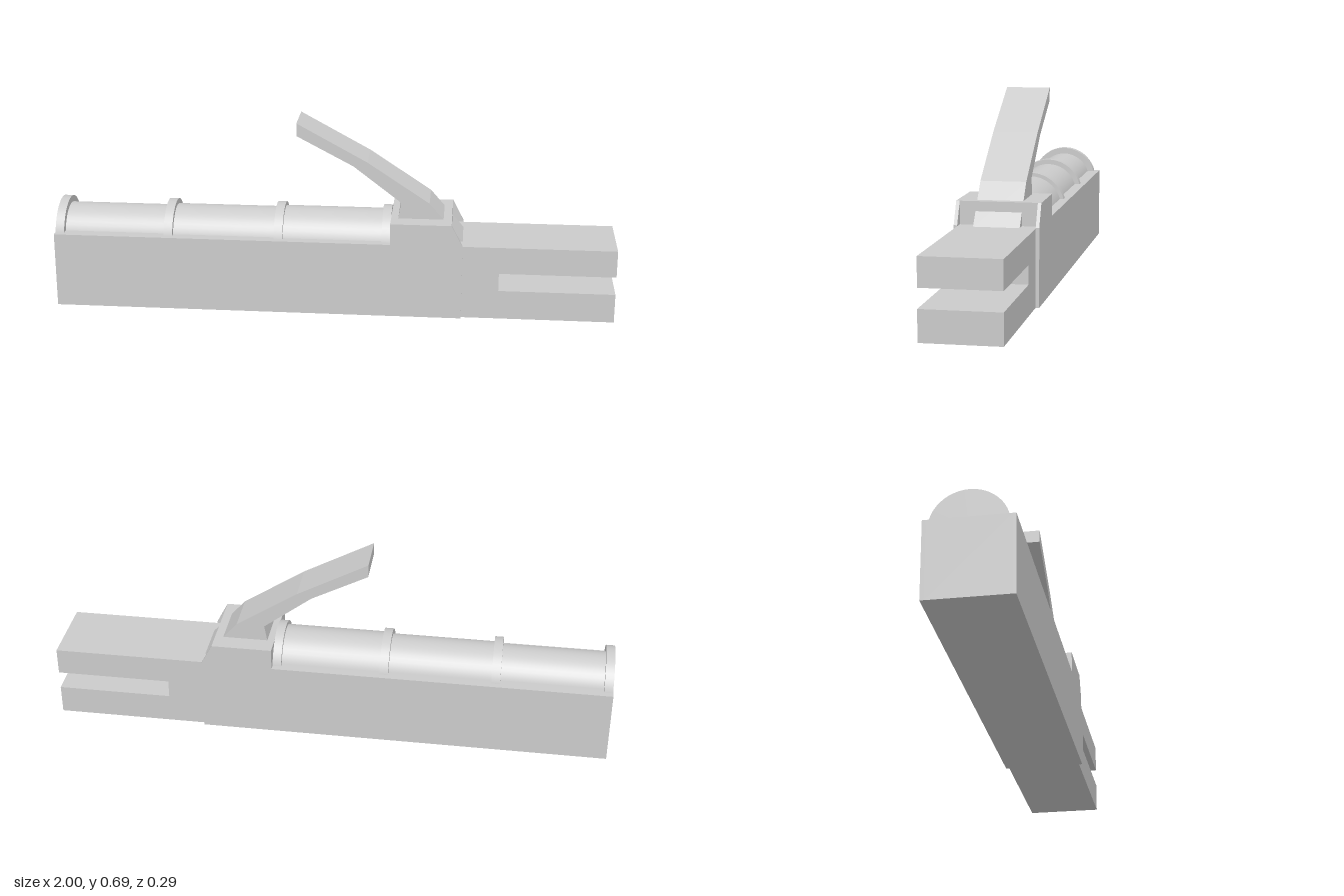
import * as THREE from 'three';

const material = new THREE.MeshStandardMaterial({ color: 0xcccccc });
const flat = new THREE.MeshStandardMaterial({ color: 0xcccccc, flatShading: true });

// Side outline (x, y) extruded across z, from zMin to zMax
function slab(name, points, zMin, zMax) {
  const shape = new THREE.Shape(points.map(([x, y]) => new THREE.Vector2(x, y)));
  const geometry = new THREE.ExtrudeGeometry(shape, { depth: zMax - zMin, bevelEnabled: false });
  geometry.translate(0, 0, zMin);
  const mesh = new THREE.Mesh(geometry, flat);
  mesh.name = name;
  return mesh;
}

// Cylinder lying along x
function rod(name, x0, x1, radius) {
  const geometry = new THREE.CylinderGeometry(radius, radius, x1 - x0, 48);
  geometry.rotateZ(Math.PI / 2);
  const mesh = new THREE.Mesh(geometry, material);
  mesh.position.set((x0 + x1) / 2, 0.237, 0);
  mesh.name = name;
  return mesh;
}

export function createModel() {
  const model = new THREE.Group();
  model.name = 'leverDevice';

  // Long housing with a raised block at the lever end
  model.add(slab('housing', [
    [-1, 0], [0.46, 0], [0.46, 0.267], [0.42, 0.267], [0.42, 0.347],
    [0.205, 0.347], [0.205, 0.27], [-1, 0.27],
  ], -0.133, 0.133));

  // Thin side plates, chamfered at the front of the block
  for (const side of [-1, 1]) {
    const z = [0.133 * side, 0.145 * side].sort((a, b) => a - b);
    model.add(slab(side > 0 ? 'frontSidePlate' : 'backSidePlate', [
      [-1, 0], [0.46, 0], [0.46, 0.27], [0.42, 0.347],
      [0.205, 0.347], [0.205, 0.27], [-1, 0.27],
    ], z[0], z[1]));
  }

  // Forked end with an open slot
  model.add(slab('fork', [
    [0.46, 0], [1, 0], [1, 0.105], [0.59, 0.105],
    [0.59, 0.17], [1, 0.17], [1, 0.267], [0.46, 0.267],
  ], -0.133, 0.133));

  // Bent lever
  model.add(slab('lever', [
    [0.23, 0.267], [0.46, 0.267], [0.34, 0.405], [0.12, 0.55], [-0.13, 0.686],
    [-0.13, 0.64], [0.07, 0.535], [0.24, 0.405], [0.23, 0.347],
  ], -0.079, 0.079));

  // Tube in three sections, slightly wider towards the lever
  const sections = [[-0.98, -0.59, 0.105], [-0.59, -0.195, 0.11], [-0.195, 0.19, 0.115]];
  for (const [x0, x1, r] of sections) model.add(rod('tube', x0, x1, r));

  // Bands around the tube
  for (const x of [-0.999, -0.606, -0.21, 0.174]) model.add(rod('band', x, x + 0.031, 0.128));

  return model;
}
